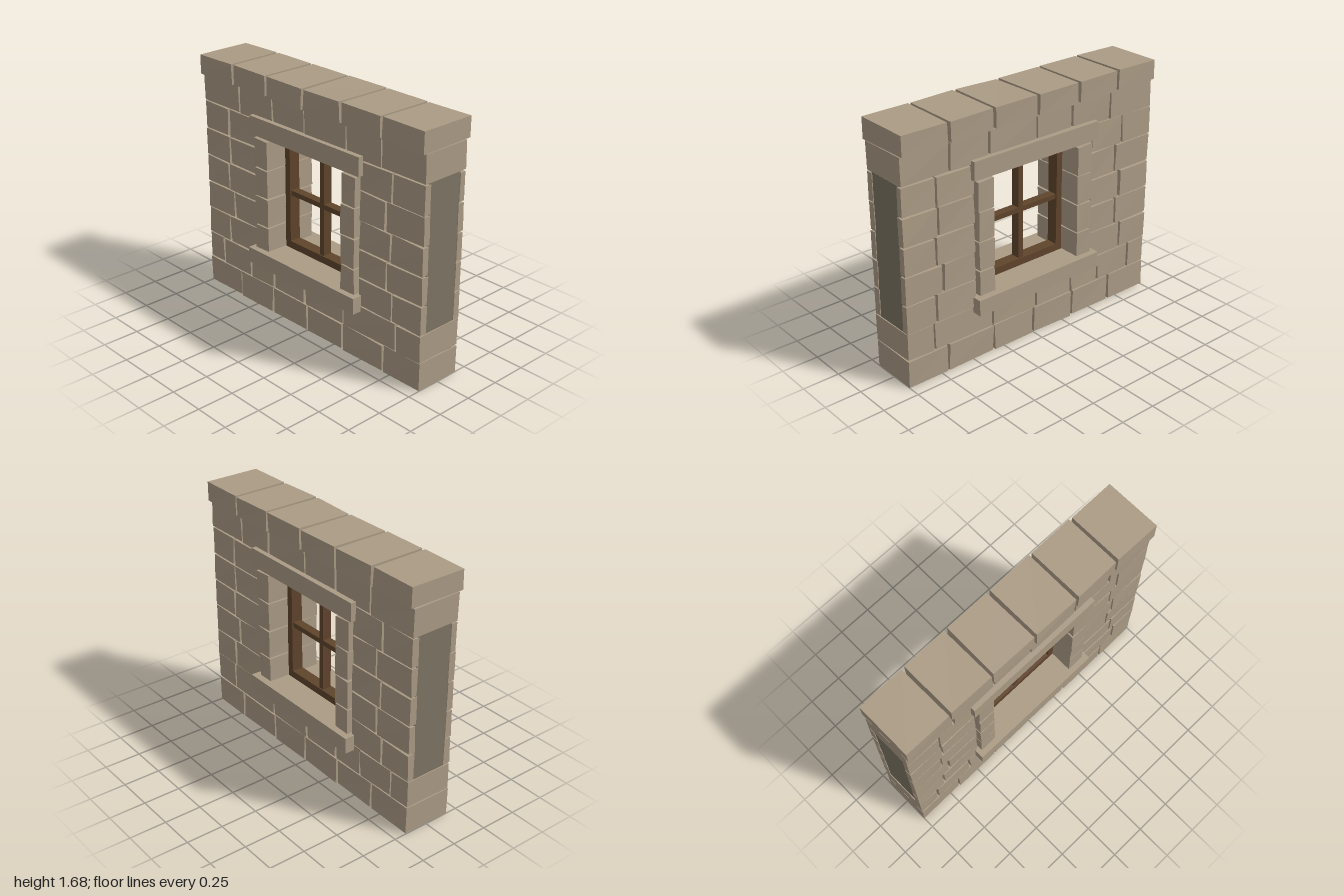
import * as THREE from 'three';

export function createModel() {
  const model = new THREE.Group();
  model.name = 'stoneWallWithWindow';
  const stone = new THREE.MeshStandardMaterial({ color: 0xab9b85 });
  const mortar = new THREE.MeshStandardMaterial({ color: 0x7d7464 });
  const wood = new THREE.MeshStandardMaterial({ color: 0x5f442c });
  stone.name = 'stone';
  mortar.name = 'mortar';
  wood.name = 'wood';

  // small seeded generator for the uneven stone corners
  let seed = 7;
  const rand = () => {
    seed = (seed * 16807) % 2147483647;
    return seed / 2147483647 - 0.5;
  };

  // box given by its limits; rough > 0 shifts the eight corners a little
  function block(parent, name, mat, x0, x1, y0, y1, z0, z1, rough = 0) {
    let geo = new THREE.BoxGeometry(x1 - x0, y1 - y0, z1 - z0);
    geo.translate((x0 + x1) / 2, (y0 + y1) / 2, (z0 + z1) / 2);
    if (rough) {
      const shifts = Array.from({ length: 8 }, () => [rand() * rough, rand() * rough, rand() * rough]);
      const p = geo.attributes.position;
      for (let i = 0; i < p.count; i++) {
        const x = p.getX(i), y = p.getY(i), z = p.getZ(i);
        const corner = (x > (x0 + x1) / 2 ? 1 : 0) + (y > (y0 + y1) / 2 ? 2 : 0) + (z > (z0 + z1) / 2 ? 4 : 0);
        const s = shifts[corner];
        p.setXYZ(i, Math.abs(x) > 0.995 ? x : x + s[0], Math.max(0, y + s[1]), z + s[2]);
      }
      geo = geo.toNonIndexed();
      geo.computeVertexNormals();
    }
    const mesh = new THREE.Mesh(geo, mat);
    mesh.name = name;
    parent.add(mesh);
  }

  function group(name) {
    const g = new THREE.Group();
    g.name = name;
    model.add(g);
    return g;
  }

  // a row of stones split at the given joints
  function course(parent, name, x0, x1, joints, y0, y1, z0, z1, gap = 0.016) {
    const cuts = [x0, ...joints, x1];
    for (let i = 0; i < cuts.length - 1; i++) {
      const a = cuts[i] + (i ? gap / 2 : 0);
      const b = cuts[i + 1] - (i < cuts.length - 2 ? gap / 2 : 0);
      block(parent, name, stone, a, b, y0, y1, z0, z1, 0.008);
    }
  }

  // mortar core around the window opening
  const core = group('mortarCore');
  block(core, 'coreBottom', mortar, -0.99, 0.99, 0.012, 0.42, -0.128, 0.13);
  block(core, 'coreTop', mortar, -0.99, 0.99, 1.29, 1.525, -0.128, 0.13);
  block(core, 'coreLeft', mortar, 0.48, 0.995, 0.38, 1.35, -0.128, 0.13);
  block(core, 'coreRight', mortar, -0.995, -0.48, 0.38, 1.35, -0.128, 0.13);

  // full-depth courses
  const courses = group('fullCourses');
  course(courses, 'baseStone', -1, 1, [-0.67, -0.335, 0.005, 0.335, 0.7], 0.004, 0.188, -0.167, 0.17);
  course(courses, 'secondStone', -1, 1, [-0.85, -0.56, -0.32, -0.015, 0.345, 0.8], 0.196, 0.377, -0.167, 0.17);
  course(courses, 'upperStone', -1, 1, [-0.635, -0.31, -0.015, 0.36, 0.655], 1.353, 1.534, -0.167, 0.17);
  course(courses, 'capStone', -1, 1, [-0.67, -0.34, -0.003, 0.335, 0.667], 1.54, 1.674, -0.193, 0.195, 0.02);

  // thin facing stones beside the window, front and back
  const facing = group('facingStones');
  const rightJoints = [-0.78, -0.72, -0.77, -0.75, -0.755];
  const leftJoints = [0.76, 0.71, 0.74, 0.695, 0.745];
  for (let r = 0; r < 5; r++) {
    const y0 = 0.385 + r * 0.1935, y1 = y0 + 0.184;
    course(facing, 'frontFacing', -1, -0.48, [rightJoints[r]], y0, y1, 0.122, 0.168);
    course(facing, 'frontFacing', 0.48, 1, [leftJoints[r]], y0, y1, 0.122, 0.168);
    course(facing, 'backFacing', -1, -0.48, [-leftJoints[r]], y0, y1, -0.168, -0.122);
    course(facing, 'backFacing', 0.48, 1, [-rightJoints[r]], y0, y1, -0.168, -0.122);
  }

  // window surround: jamb stones, sill and lintel
  const surround = group('windowSurround');
  const jambY = [0.455, 0.63, 0.835, 1.037, 1.24];
  for (let i = 0; i < 4; i++) {
    block(surround, 'jambStone', stone, -0.465, -0.345, jambY[i] + 0.004, jambY[i + 1] - 0.005, -0.192, 0.195, 0.007);
    block(surround, 'jambStone', stone, 0.343, 0.462, jambY[i] + 0.004, jambY[i + 1] - 0.005, -0.192, 0.195, 0.007);
  }
  block(surround, 'sill', stone, -0.5, 0.5, 0.348, 0.457, -0.235, 0.235);
  block(surround, 'lintel', stone, -0.5, 0.5, 1.255, 1.38, -0.202, 0.202);

  // wooden window frame with crossing bars
  const frame = group('windowFrame');
  for (const s of [-1, 1]) {
    block(frame, 'stile', wood, s * 0.3215 - 0.0235, s * 0.3215 + 0.0235, 0.457, 1.245, -0.04, 0.04);
  }
  block(frame, 'bottomRail', wood, -0.298, 0.298, 0.457, 0.507, -0.04, 0.04);
  block(frame, 'topRail', wood, -0.298, 0.298, 1.197, 1.245, -0.04, 0.04);
  block(frame, 'uprightBar', wood, -0.018, 0.018, 0.507, 1.197, -0.032, 0.032);
  block(frame, 'crossBar', wood, -0.298, 0.298, 0.836, 0.87, -0.03, 0.03);

  return model;
}
